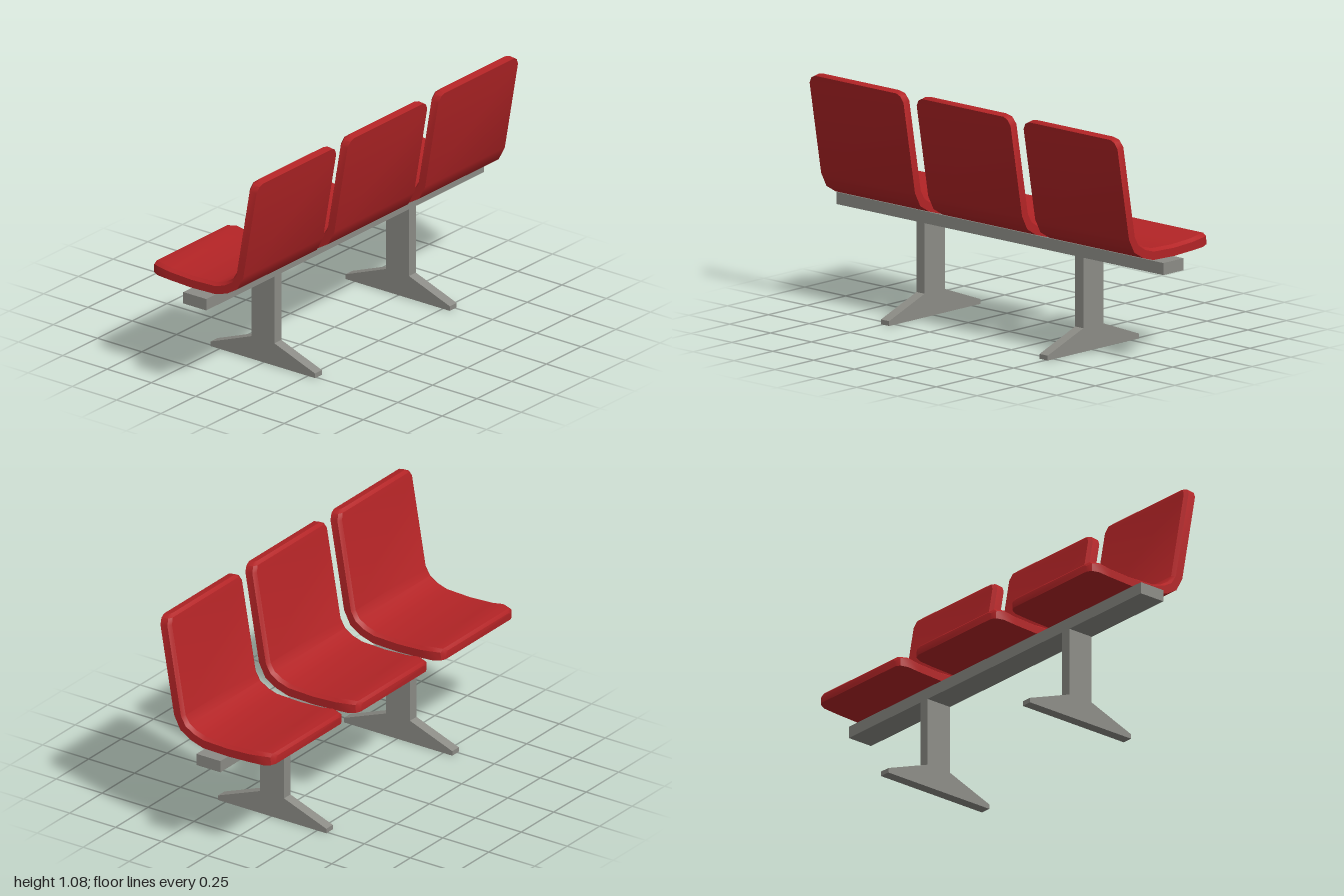
import * as THREE from 'three';
import { toCreasedNormals } from 'three/addons/utils/BufferGeometryUtils.js';

// Stations along the seat shell: outer x, y, inner x, y, half width
const STATIONS = [
  [-0.305, 0.5, -0.305, 0.537, 0.25],
  [-0.294, 0.499, -0.292, 0.549, 0.272],
  [-0.262, 0.496, -0.25, 0.552, 0.287],
  [-0.19, 0.491, -0.19, 0.542, 0.287],
  [-0.07, 0.486, -0.07, 0.536, 0.287],
  [0.065, 0.49, 0.06, 0.541, 0.287],
  [0.13, 0.51, 0.11, 0.556, 0.287],
  [0.188, 0.545, 0.15, 0.58, 0.287],
  [0.222, 0.61, 0.172, 0.615, 0.287],
  [0.2965, 1.035, 0.246, 1.04, 0.287],
  [0.301, 1.062, 0.253, 1.068, 0.272],
  [0.303, 1.073, 0.267, 1.08, 0.25],
];

// Seat and backrest in one bent shell with softened inner edges
function shellGeometry() {
  const pos = [], index = [], N = 6, bevel = 0.018;
  for (const [ox, oy, ix, iy, w] of STATIONS) {
    const mx = ox + (ix - ox) * 0.75, my = oy + (iy - oy) * 0.75;
    pos.push(ox, oy, -w, ox, oy, w, mx, my, w);
    pos.push(ix, iy, w - bevel, ix, iy, bevel - w, mx, my, -w);
  }
  const last = (STATIONS.length - 1) * N;
  for (let k = 0; k < last; k += N) {
    for (let j = 0; j < N; j++) {
      const a = k + j, b = k + (j + 1) % N;
      index.push(a, a + N, b, b, a + N, b + N);
    }
  }
  // End caps
  for (let j = 1; j < N - 1; j++) {
    index.push(0, j, j + 1, last, last + j + 1, last + j);
  }
  const g = new THREE.BufferGeometry();
  g.setAttribute('position', new THREE.Float32BufferAttribute(pos, 3));
  g.setIndex(index);
  return toCreasedNormals(g, 0.6);
}

// Column with a spreading foot, cut from one plate
function legGeometry() {
  const outline = [
    [-0.3, 0], [0.29, 0], [0.29, 0.022], [0.06, 0.108],
    [0.06, 0.43], [-0.07, 0.43], [-0.07, 0.108], [-0.3, 0.022],
  ].map(([x, y]) => new THREE.Vector2(x, y));
  const g = new THREE.ExtrudeGeometry(new THREE.Shape(outline), { depth: 0.05, bevelEnabled: false });
  return g.translate(0, 0, -0.025);
}

export function createModel() {
  const red = new THREE.MeshStandardMaterial({ color: 0xb32426 });
  red.name = 'seat red';
  const grey = new THREE.MeshStandardMaterial({ color: 0x8c8c86 });
  grey.name = 'frame grey';

  const model = new THREE.Group();
  model.name = 'seatRow';
  const add = (name, geometry, material, x, y, z) => {
    const mesh = new THREE.Mesh(geometry, material);
    mesh.name = name;
    mesh.position.set(x, y, z);
    model.add(mesh);
  };

  // Three seats in a row
  const shell = shellGeometry();
  [-0.656, -0.002, 0.653].forEach((z, i) => add(`seat${i + 1}`, shell, red, 0, 0, z));

  // Beam under the seats and two legs
  add('beam', new THREE.BoxGeometry(0.13, 0.055, 2), grey, -0.005, 0.4575, 0);
  const leg = legGeometry();
  [-0.485, 0.485].forEach((z, i) => add(`leg${i + 1}`, leg, grey, 0, 0, z));
  return model;
}
